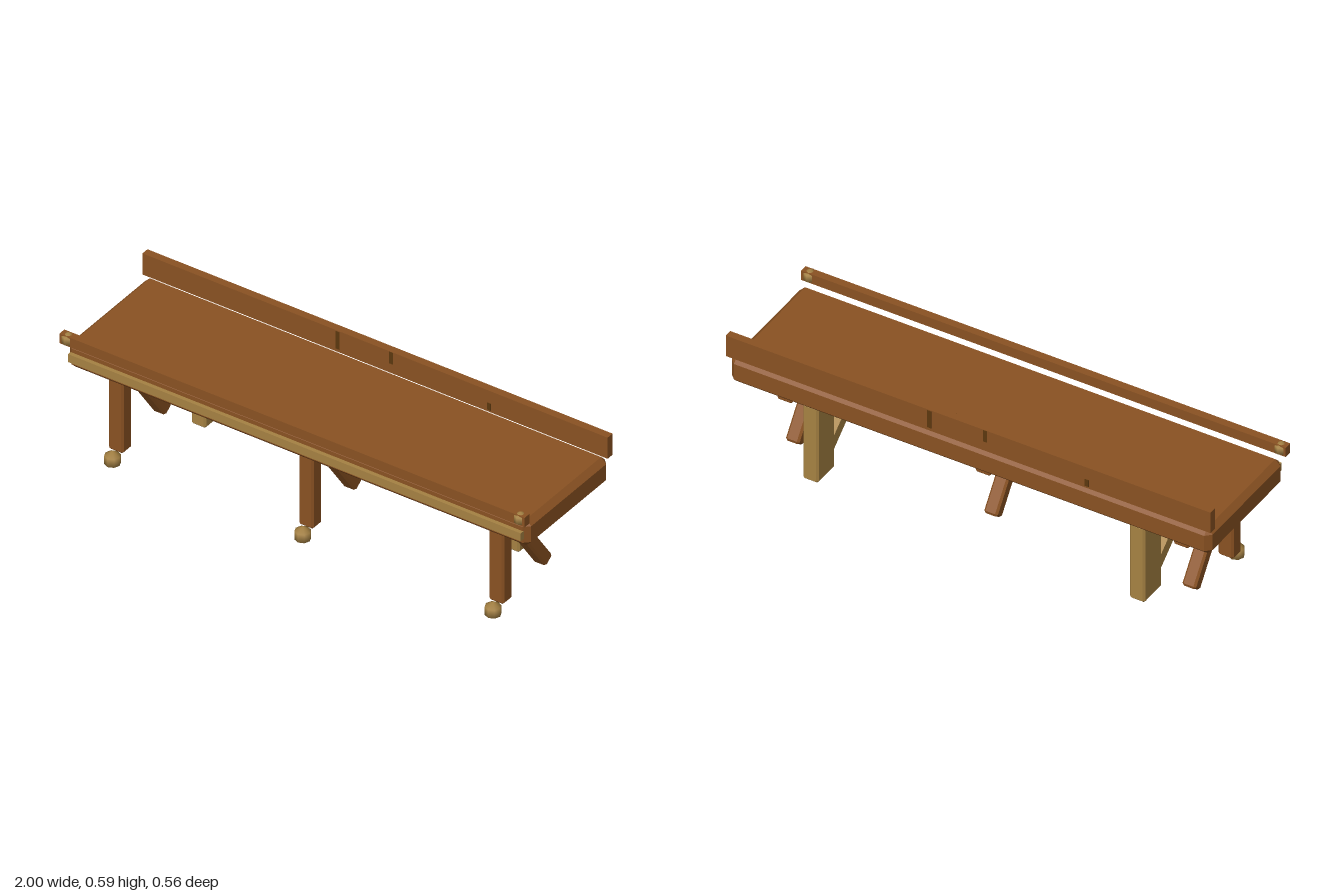
import * as THREE from 'three';
import { ConvexGeometry } from 'three/addons/geometries/ConvexGeometry.js';

const mat = (name, color) => {
  const m = new THREE.MeshStandardMaterial({ color });
  m.name = name;
  return m;
};

// Box with all edges chamfered by c
function chamferBox(w, h, d, c) {
  const pts = [];
  const [x, y, z] = [w / 2, h / 2, d / 2];
  for (const sx of [-1, 1]) for (const sy of [-1, 1]) for (const sz of [-1, 1]) {
    pts.push(new THREE.Vector3(sx * x, sy * (y - c), sz * (z - c)));
    pts.push(new THREE.Vector3(sx * (x - c), sy * y, sz * (z - c)));
    pts.push(new THREE.Vector3(sx * (x - c), sy * (y - c), sz * z));
  }
  return new ConvexGeometry(pts);
}

export function createModel() {
  const brown = mat('brown wood', 0x8a5222);
  const tan = mat('tan wood', 0xa68243);
  const dark = mat('dark grain', 0x5c380e);
  const root = new THREE.Group();
  root.name = 'walkway';

  const add = (parent, name, geometry, material, x, y, z, tilt = 0) => {
    const mesh = new THREE.Mesh(geometry, material);
    mesh.name = name;
    mesh.position.set(x, y, z);
    mesh.rotation.x = tilt;
    parent.add(mesh);
    return mesh;
  };

  // Deck and its long trims
  add(root, 'deck', chamferBox(1.984, 0.112, 0.51, 0.022), brown, 0, 0.44, -0.016);
  add(root, 'frontTrim', new THREE.BoxGeometry(1.946, 0.034, 0.03), tan, 0, 0.44, 0.24);
  add(root, 'backRail', new THREE.BoxGeometry(2, 0.091, 0.031), brown, 0, 0.5475, -0.2615);
  add(root, 'frontRail', new THREE.BoxGeometry(2, 0.041, 0.031), brown, 0, 0.523, 0.2545);

  // Round knobs at the rail ends
  const knob = new THREE.SphereGeometry(0.028, 8, 3);
  for (const s of [-1, 1]) add(root, 'railKnob', knob, tan, s * 0.972, 0.523, 0.2545);

  // Three brown trestles: leg, cross beam, brace and ball foot
  const leg = chamferBox(0.064, 0.327, 0.059, 0.008);
  const beam = chamferBox(0.0635, 0.08, 0.366, 0.008);
  const brace = chamferBox(0.056, 0.245, 0.05, 0.008);
  const foot = new THREE.SphereGeometry(0.035, 8, 3);
  for (const x of [-0.818, 0, 0.818]) {
    const trestle = new THREE.Group();
    trestle.name = 'trestle';
    trestle.position.x = x;
    add(trestle, 'frontLeg', leg, brown, 0, 0.2205, 0.1565);
    add(trestle, 'crossBeam', beam, brown, 0, 0.344, 0.003);
    add(trestle, 'brace', brace, brown, 0, 0.179, -0.039, 0.617);
    add(trestle, 'ballFoot', foot, tan, 0, 0.036, 0.203);
    root.add(trestle);
  }

  // Two tan back posts with diagonal struts
  const post = chamferBox(0.064, 0.336, 0.121, 0.008);
  const strut = new THREE.BoxGeometry(0.044, 0.41, 0.046);
  for (const s of [-1, 1]) {
    add(root, 'backPost', post, tan, s * 0.674, 0.216, -0.1805);
    add(root, 'strut', strut, tan, s * 0.674, 0.231, -0.01, Math.atan2(0.32, 0.26));
  }

  // Dark grain marks on the back rail: [x, height, centre y]
  for (const [x, h, y] of [[-0.16, 0.075, 0.552], [0.07, 0.05, 0.567], [0.49, 0.03, 0.525]]) {
    const mark = new THREE.BoxGeometry(0.016, h, 0.002);
    add(root, 'grainMark', mark, dark, x, y, -0.2455);
    add(root, 'grainMark', mark, dark, -x, y, -0.2775);
  }
  return root;
}
